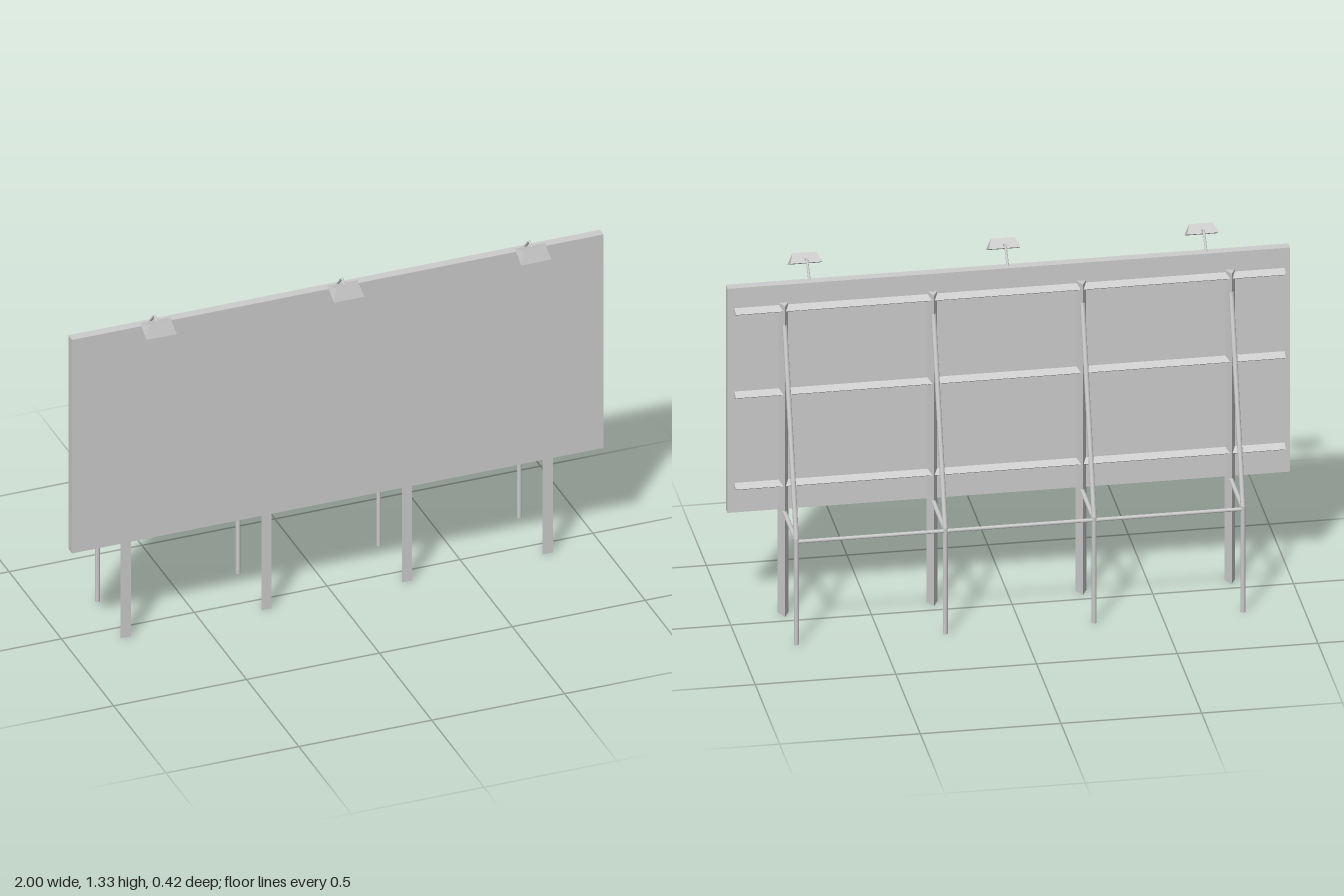
import * as THREE from 'three';

const steel = new THREE.MeshStandardMaterial({ color: 0xcccccc });
steel.name = 'light grey steel';

const V = (x, y, z) => new THREE.Vector3(x, y, z);

function add(parent, geometry, name) {
  const mesh = new THREE.Mesh(geometry, steel);
  mesh.name = name;
  parent.add(mesh);
  return mesh;
}

// Prism with a triangular section, extruded along +z
function triPrism(points, length) {
  const shape = new THREE.Shape(points.map(([x, y]) => new THREE.Vector2(x, y)));
  return new THREE.ExtrudeGeometry(shape, { depth: length, bevelEnabled: false });
}

// Round bar between two points
function bar(parent, a, b, radius, name) {
  const dir = b.clone().sub(a);
  const mesh = add(parent, new THREE.CylinderGeometry(radius, radius, dir.length(), 8), name);
  mesh.position.copy(a).add(b).multiplyScalar(0.5);
  mesh.quaternion.setFromUnitVectors(V(0, 1, 0), dir.normalize());
}

// Hipped lamp shade: wide base tilted to the panel, shorter ridge in front
function shadeGeometry() {
  const w = 0.057, r = 0.042;
  const p = [
    [-w, 1.309, 0.147], [w, 1.309, 0.147], // base, panel side
    [-w, 1.276, 0.211], [w, 1.276, 0.211], // base, outer side
    [-r, 1.325, 0.198], [r, 1.325, 0.198], // ridge
  ];
  const faces = [
    2, 3, 5, 2, 5, 4, // outer slope
    1, 0, 4, 1, 4, 5, // panel-side slope
    0, 2, 4, 3, 1, 5, // hips
    0, 1, 3, 0, 3, 2, // underside
  ];
  const g = new THREE.BufferGeometry();
  g.setAttribute('position', new THREE.Float32BufferAttribute(faces.flatMap((i) => p[i]), 3));
  g.computeVertexNormals();
  return g;
}

export function createModel() {
  const model = new THREE.Group();
  model.name = 'billboard';

  // Display panel
  add(model, new THREE.BoxGeometry(2, 0.866, 0.035), 'panel').position.set(0, 0.835, 0.085);

  // Horizontal rails on the back of the panel
  for (const y of [0.502, 0.855, 1.177]) {
    const rail = triPrism([[-0.069, -0.015], [-0.069, 0.015], [-0.041, 0]], 1.955);
    rail.rotateY(Math.PI / 2);
    add(model, rail, 'backRail').position.set(-0.98, y, 0);
  }

  // Four support frames: post, rear leg, strut and diagonal brace
  const xs = [0, 1, 2, 3].map((i) => -0.786 + i * 0.529);
  const rearZ = -0.198;
  for (const x of xs) {
    const frame = new THREE.Group();
    frame.name = 'supportFrame';
    frame.position.x = x;
    const post = triPrism([[-0.0195, -0.073], [0.0195, -0.073], [0, -0.032]], 1.2);
    post.rotateX(-Math.PI / 2);
    add(frame, post, 'post');
    bar(frame, V(0, 0, rearZ), V(0, 0.41, rearZ), 0.009, 'rearLeg');
    bar(frame, V(0, 0.399, 0.045), V(0, 0.399, rearZ), 0.0085, 'strut');
    bar(frame, V(0, 1.125, 0.043), V(0, 0.405, rearZ), 0.009, 'brace');
    model.add(frame);
  }

  // Long tie bar joining the rear legs
  bar(model, V(xs[0], 0.397, rearZ), V(xs[3], 0.397, rearZ), 0.007, 'tieBar');

  // Lamps on bent arms along the top edge
  for (const x of [-0.705, 0, 0.705]) {
    const lamp = new THREE.Group();
    lamp.name = 'lamp';
    lamp.position.x = x;
    bar(lamp, V(0, 1.262, 0.084), V(0, 1.325, 0.141), 0.0045, 'lampArm');
    bar(lamp, V(0, 1.325, 0.141), V(0, 1.308, 0.175), 0.0045, 'lampArmTip');
    add(lamp, shadeGeometry(), 'lampShade');
    model.add(lamp);
  }

  return model;
}
